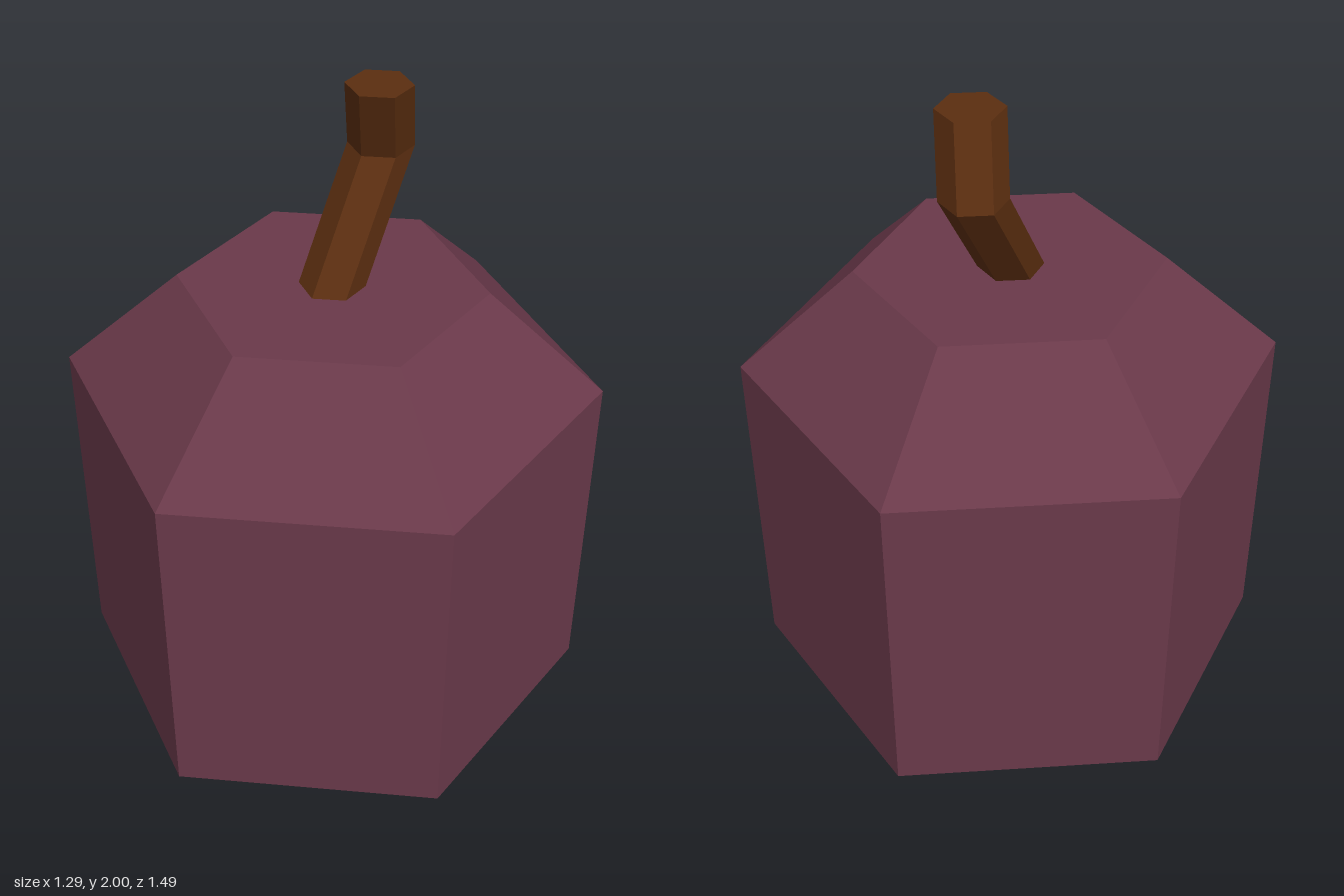
import * as THREE from 'three';

const SIDES = 6;

// Separate the faces so that every facet gets its own flat normal
function faceted(geometry) {
  const flat = geometry.toNonIndexed();
  flat.computeVertexNormals();
  return flat;
}

function part(name, geometry, material) {
  const mesh = new THREE.Mesh(faceted(geometry), material);
  mesh.name = name;
  return mesh;
}

export function createModel() {
  const skin = new THREE.MeshStandardMaterial({ name: 'plum skin', color: 0x6a394a });
  const bark = new THREE.MeshStandardMaterial({ name: 'brown stem', color: 0x5b2e10 });

  const model = new THREE.Group();
  model.name = 'fruit';

  // Six-sided body, closed at top and bottom: [radius, height]
  const profile = [[0, 0], [0.23, 0], [0.737, 0.19], [0.746, 1.175], [0.422, 1.47], [0, 1.47]]
    .map(([r, y]) => new THREE.Vector2(r, y));
  model.add(part('body', new THREE.LatheGeometry(profile, SIDES), skin));

  // Bent stem: level six-sided rings shifted sideways
  const centres = [[0, 1.47, 0], [0.194, 1.79, -0.121], [0.153, 2, -0.05]];
  const stem = new THREE.CylinderGeometry(0.09, 0.09, 2, SIDES, 2);
  const pos = stem.attributes.position;
  for (let i = 0; i < pos.count; i++) {
    const [cx, cy, cz] = centres[Math.round(pos.getY(i)) + 1];
    pos.setXYZ(i, pos.getX(i) + cx, cy, pos.getZ(i) + cz);
  }
  model.add(part('stem', stem, bark));

  return model;
}
